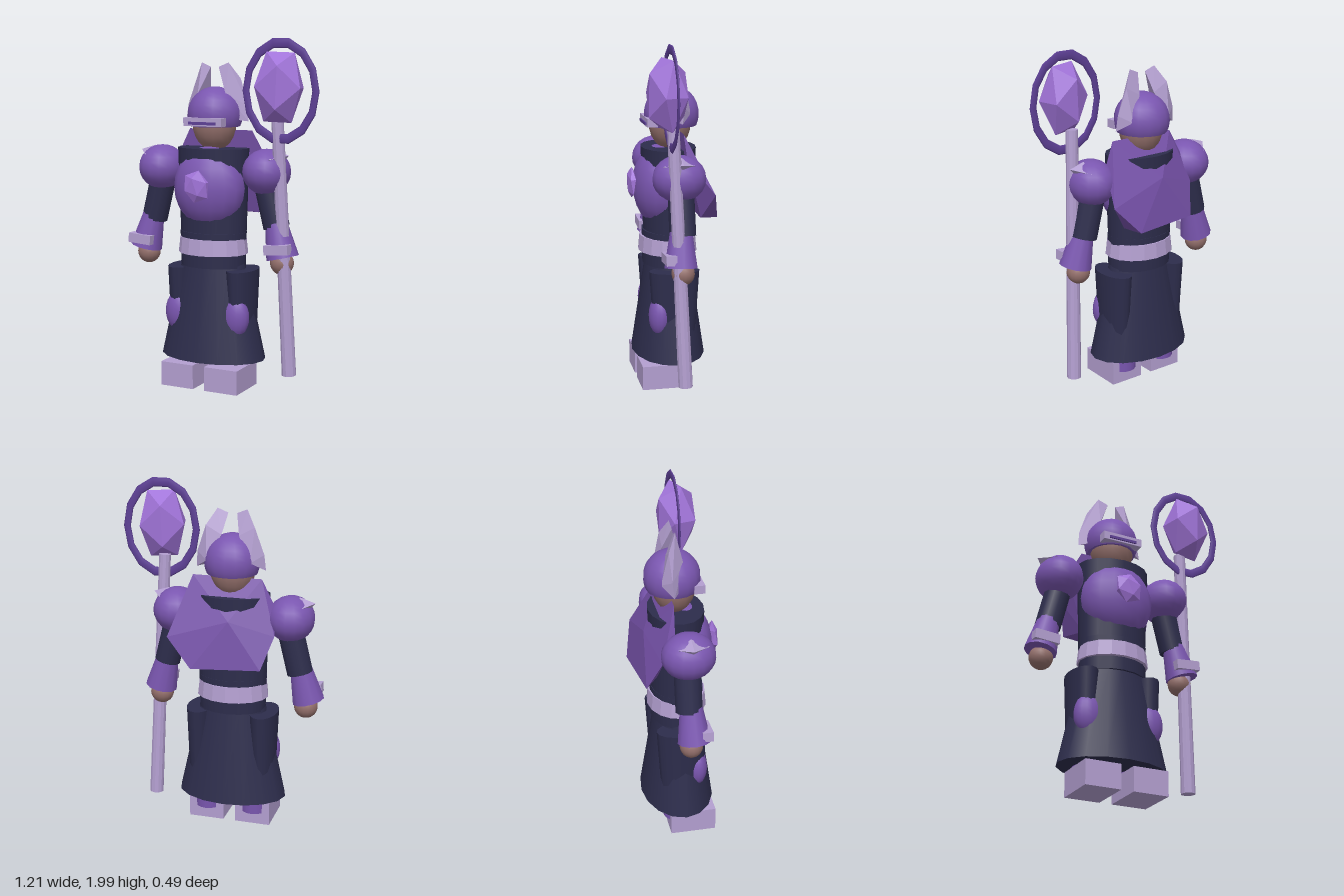
import * as THREE from 'three';
import { ConvexGeometry } from 'three/addons/geometries/ConvexGeometry.js';

const CX = -0.0775; // body centre line

export function createModel() {
  const root = new THREE.Group();
  root.name = 'mage';

  const material = (name, color, flatShading = false) => {
    const m = new THREE.MeshStandardMaterial({ color, flatShading });
    m.name = name;
    return m;
  };
  const purple = material('purple armour', 0x7a56b0);
  const capePurple = material('cape purple', 0x7450a6, true);
  const darkPurple = material('deep purple', 0x5e4096);
  const lavender = material('lavender trim', 0xb39fd0, true);
  const cloth = material('dark cloth', 0x2d2d4c);
  const skin = material('skin', 0x94706c);
  const crystal = material('crystal', 0xa073d8, true);

  const add = (name, geometry, mat, x = 0, y = 0, z = 0) => {
    const mesh = new THREE.Mesh(geometry, mat);
    mesh.name = name;
    mesh.position.set(x, y, z);
    root.add(mesh);
    return mesh;
  };
  const box = (name, mat, w, h, d, x, y, z) => add(name, new THREE.BoxGeometry(w, h, d), mat, x, y, z);
  const ball = (name, mat, rx, ry, rz, x, y, z) =>
    add(name, new THREE.SphereGeometry(1, 16, 12).scale(rx, ry, rz), mat, x, y, z);
  // Upright oval drum from y0 to y1; depth is the z to x ratio
  const drum = (name, mat, rTop, rBottom, y0, y1, depth, x, z, sides = 16) =>
    add(name, new THREE.CylinderGeometry(rTop, rBottom, y1 - y0, sides).scale(1, 1, depth), mat, x, (y0 + y1) / 2, z);
  // Tapered rod between two points
  const rod = (name, mat, a, b, ra, rb, sides = 12) => {
    const from = new THREE.Vector3(...a), to = new THREE.Vector3(...b);
    const dir = to.clone().sub(from);
    const mesh = add(name, new THREE.CylinderGeometry(rb, ra, dir.length(), sides), mat);
    mesh.position.copy(from).add(to).multiplyScalar(0.5);
    mesh.quaternion.setFromUnitVectors(new THREE.Vector3(0, 1, 0), dir.normalize());
    return mesh;
  };
  const gem = (name, mat, rx, ry, rz, x, y, z) =>
    add(name, new THREE.IcosahedronGeometry(1, 0).scale(rx, ry, rz), mat, x, y, z);
  const hull = (name, mat, points) =>
    add(name, new ConvexGeometry(points.map((p) => new THREE.Vector3(...p))), mat);

  // Robe, torso and belt
  drum('skirt', cloth, 0.195, 0.32, 0.165, 0.72, 0.66, CX, 0.01);
  drum('waist', cloth, 0.2, 0.195, 0.7, 0.9, 0.76, CX, 0.008);
  drum('torso', cloth, 0.215, 0.198, 0.86, 1.38, 0.73, CX, 0.005);
  drum('belt', lavender, 0.198, 0.208, 0.775, 0.865, 0.82, CX, 0.01);

  // Breastplate with its gem
  ball('breastplate', purple, 0.215, 0.235, 0.155, CX, 1.155, 0.055);
  gem('chestGem', crystal, 0.085, 0.095, 0.028, CX, 1.175, 0.217).rotation.z = 0.35;

  // Faceted cape
  hull('cape', capePurple, [
    [-0.255, 1.48, -0.04], [0.145, 1.48, -0.04], [-0.34, 1.32, -0.05], [0.2, 1.34, -0.05],
    [-0.35, 1.18, -0.12], [0.25, 1.15, -0.2], [-0.1, 1.26, -0.18], [-0.29, 1.0, -0.2],
    [0.1, 0.99, -0.245], [0.14, 1.0, -0.14], [-0.2, 1.02, -0.12],
  ]);

  // Head, helmet and visor
  ball('head', skin, 0.128, 0.16, 0.122, CX, 1.52, -0.005);
  add('helmet', new THREE.SphereGeometry(0.158, 16, 10, 0, Math.PI * 2, 0, Math.PI * 0.64),
    purple, CX, 1.567, -0.015);
  const rim = 0.158 * Math.sin(Math.PI * 0.64);
  const underside = add('helmetUnderside', new THREE.CircleGeometry(rim, 16), purple,
    CX, 1.567 + 0.158 * Math.cos(Math.PI * 0.64), -0.015);
  underside.rotation.x = Math.PI / 2;
  box('visor', lavender, 0.24, 0.048, 0.06, CX, 1.53, 0.115);
  box('visorSlit', darkPurple, 0.17, 0.016, 0.008, CX, 1.523, 0.149);

  // Everything that comes in mirrored pairs; s is the side
  for (const s of [-1, 1]) {
    const X = (d) => CX + s * d;

    // Helmet crest wings
    hull('helmetWing', lavender, [
      [X(0.085), 1.86, -0.015], [X(0.025), 1.835, -0.01], [X(0.14), 1.77, -0.06],
      [X(0.192), 1.62, -0.05], [X(0.2), 1.53, -0.04], [X(0.14), 1.54, 0.0],
      [X(0.125), 1.58, -0.1], [X(0.09), 1.68, 0.03], [X(0.05), 1.72, -0.06],
    ]);

    // Shoulder and spike
    ball('pauldron', purple, 0.135, 0.13, 0.15, X(0.335), 1.255, 0.008);
    const spike = add('pauldronSpike', new THREE.OctahedronGeometry(1, 0).scale(0.08, 0.05, 0.1),
      lavender, X(0.395), 1.332, 0.01);
    spike.rotation.z = s * 0.25;

    // Arm, gauntlet, cuff and hand
    rod('upperArm', cloth, [X(0.395), 0.945, 0.0], [X(0.32), 1.25, 0.0], 0.075, 0.075);
    rod('gauntlet', purple, [X(0.442), 0.777, 0.02], [X(0.395), 0.975, 0.01], 0.093, 0.062);
    box('cuff', lavender, 0.145, 0.055, 0.06, X(0.437), 0.832, 0.083).rotation.z = s * 0.08;
    ball('hand', skin, 0.068, 0.068, 0.065, X(0.432), 0.745, 0.006);

    // Hip panel, knee guard, shin and boot
    drum('hipPanel', cloth, 0.081, 0.065, 0.25, 0.69, 1.8, X(0.188), 0.005);
    ball('kneeGuard', purple, 0.08, 0.118, 0.062, X(0.185), 0.425, 0.092);
    drum('shin', purple, 0.088, 0.078, 0.07, 0.4, 1, X(0.14), -0.015);
    box('boot', lavender, 0.207, 0.14, 0.265, X(0.14), 0.07, 0.067);
  }

  // Staff with crystal and oval ring
  rod('staff', lavender, [0.4, 0.1, 0.0], [0.345, 1.56, 0.06], 0.041, 0.034);
  gem('staffCrystal', crystal, 0.148, 0.223, 0.122, 0.37, 1.73, 0.098).rotation.set(0, 0.25, -0.04);
  add('staffRing', new THREE.TorusGeometry(0.208, 0.021, 8, 14).scale(1, 1.275, 0.3),
    darkPurple, 0.37, 1.708, 0.078);

  return root;
}
